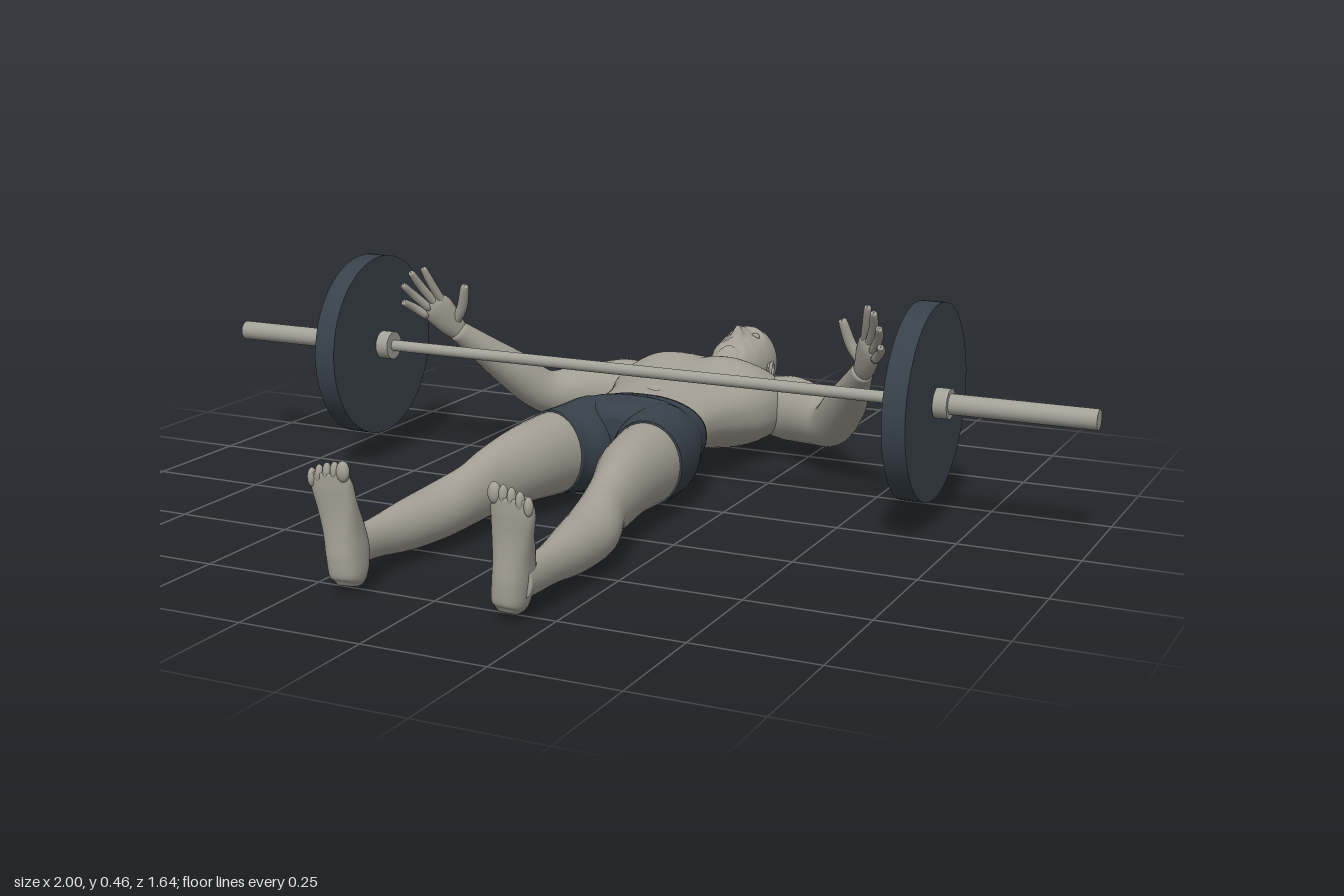
import * as THREE from 'three';

const mat = (name, color) => Object.assign(new THREE.MeshStandardMaterial({ color }), { name });
const skin = mat('skin grey', 0xa39f95);
const dark = mat('dark slate', 0x38414a);
const steel = mat('bar steel', 0xa2a198);
const Y = new THREE.Vector3(0, 1, 0);
const Z = new THREE.Vector3(0, 0, 1);

function add(parent, name, geo, material, x = 0, y = 0, z = 0) {
  const mesh = new THREE.Mesh(geo, material);
  mesh.name = name;
  mesh.position.set(x, y, z);
  parent.add(mesh);
  return mesh;
}

// Smooth capped skin over superelliptical rings; rows are [x, y, z, halfWidth, halfHeight]
function loft(rows, { up = Y, s = 1, rings = 32, around = 32, power = 2 } = {}) {
  const path = new THREE.CatmullRomCurve3(rows.map(r => new THREE.Vector3(r[0] * s, r[1], r[2])), false, 'catmullrom');
  const size = new THREE.CatmullRomCurve3(rows.map(r => new THREE.Vector3(r[3], r[4], 0)), false, 'catmullrom');
  const pos = [], idx = [];
  const pw = v => Math.sign(v) * Math.abs(v) ** (2 / power);
  for (let i = 0; i <= rings; i++) {
    const c = path.getPoint(i / rings), r = size.getPoint(i / rings), t = path.getTangent(i / rings);
    const side = new THREE.Vector3().crossVectors(up, t).normalize();
    const top = new THREE.Vector3().crossVectors(t, side);
    for (let j = 0; j < around; j++) {
      const a = j / around * Math.PI * 2;
      const p = c.clone().addScaledVector(side, r.x * pw(Math.cos(a))).addScaledVector(top, r.y * pw(Math.sin(a)));
      pos.push(p.x, p.y, p.z);
    }
  }
  for (let i = 0; i < rings; i++) for (let j = 0; j < around; j++) {
    const k = (j + 1) % around, a = i * around + j, b = i * around + k;
    idx.push(a, b, a + around, b, b + around, a + around);
  }
  const first = pos.length / 3, last = rings * around;
  pos.push(...path.getPoint(0).toArray(), ...path.getPoint(1).toArray());
  for (let j = 0; j < around; j++) {
    const k = (j + 1) % around;
    idx.push(first, k, j, first + 1, last + j, last + k);
  }
  const geo = new THREE.BufferGeometry();
  geo.setAttribute('position', new THREE.Float32BufferAttribute(pos, 3));
  geo.setIndex(idx);
  geo.computeVertexNormals();
  return geo;
}

// Raise or sink soft spots in y: [x, y, z, radiusX, radiusZ, amount], mirrored when x > 0
function sculpt(geo, spots) {
  const p = geo.attributes.position;
  const all = spots.flatMap(b => b[0] ? [b, [-b[0], ...b.slice(1)]] : [b]);
  for (let i = 0; i < p.count; i++) {
    const x = p.getX(i), y = p.getY(i), z = p.getZ(i);
    let dy = 0;
    for (const [bx, by, bz, rx, rz, h] of all)
      dy += h * Math.exp(-(((x - bx) / rx) ** 2) - (((y - by) / 0.05) ** 2) - (((z - bz) / rz) ** 2));
    p.setY(i, y + dy);
  }
  geo.computeVertexNormals();
  return geo;
}

// Rows for parts on the centre line: [z, halfWidth, bottom, top]
const centred = rows => rows.map(([z, w, lo, hi]) => [0, (lo + hi) / 2, z, w, (hi - lo) / 2]);

function ball(parent, name, x, y, z, rx, ry, rz) {
  const m = add(parent, name, new THREE.SphereGeometry(1, 20, 14), skin, x, y, z);
  m.scale.set(rx, ry, rz);
  return m;
}

function buildHead() {
  const head = new THREE.Group();
  head.name = 'head';
  const skull = loft(centred([
    [-0.815, 0.012, 0.14, 0.165], [-0.803, 0.038, 0.1, 0.195], [-0.775, 0.06, 0.073, 0.222],
    [-0.74, 0.07, 0.06, 0.237], [-0.7, 0.071, 0.063, 0.238], [-0.67, 0.067, 0.078, 0.236],
    [-0.64, 0.058, 0.1, 0.234], [-0.615, 0.042, 0.135, 0.228], [-0.603, 0.022, 0.17, 0.215],
  ]), { rings: 80, around: 96 });
  add(head, 'skull', sculpt(skull, [
    [0, 0.24, -0.668, 0.011, 0.011, 0.022], [0, 0.24, -0.692, 0.009, 0.02, 0.012],
    [0.01, 0.235, -0.664, 0.007, 0.006, 0.006], [0.028, 0.235, -0.712, 0.014, 0.01, -0.012],
    [0.026, 0.235, -0.731, 0.02, 0.008, 0.004], [0, 0.235, -0.649, 0.02, 0.004, 0.006],
    [0, 0.235, -0.638, 0.017, 0.004, 0.006], [0, 0.225, -0.614, 0.018, 0.009, 0.007],
    [0.04, 0.225, -0.675, 0.014, 0.02, -0.004],
  ]), skin);
  add(head, 'neck', loft(centred([
    [-0.69, 0.052, 0.085, 0.185], [-0.64, 0.055, 0.092, 0.192], [-0.6, 0.056, 0.095, 0.19],
    [-0.565, 0.068, 0.085, 0.185], [-0.52, 0.095, 0.06, 0.185],
  ])), skin);
  for (const s of [-1, 1]) {
    ball(head, 'eye', s * 0.028, 0.219, -0.712, 0.011, 0.01, 0.007);
    const ear = ball(head, 'ear', s * 0.073, 0.148, -0.692, 0.006, 0.016, 0.026);
    ear.rotation.y = s * 0.25;
    const rim = add(head, 'earRim', new THREE.TorusGeometry(0.015, 0.004, 8, 24), skin, s * 0.078, 0.148, -0.695);
    rim.rotation.y = Math.PI / 2 + s * 0.25;
    rim.scale.x = 1.5;
  }
  return head;
}

function buildArm(s) {
  const arm = new THREE.Group();
  arm.name = s > 0 ? 'leftArm' : 'rightArm';
  add(arm, 'armAndShoulder', loft([
    [0.12, 0.112, -0.49, 0.045, 0.06], [0.2, 0.112, -0.487, 0.062, 0.074], [0.25, 0.11, -0.468, 0.066, 0.07],
    [0.3, 0.112, -0.422, 0.06, 0.061], [0.355, 0.122, -0.357, 0.05, 0.05], [0.405, 0.18, -0.295, 0.047, 0.045],
    [0.45, 0.24, -0.23, 0.034, 0.033], [0.486, 0.29, -0.176, 0.022, 0.023],
  ], { s, rings: 48 }), skin);
  add(arm, 'palm', loft([
    [0.48, 0.28, -0.185, 0.02, 0.018], [0.495, 0.308, -0.162, 0.03, 0.018],
    [0.512, 0.345, -0.135, 0.035, 0.015], [0.521, 0.36, -0.124, 0.026, 0.009],
  ], { s, up: new THREE.Vector3(0.66 * s, 0.24, -0.74), rings: 16, around: 24 }), skin);
  // knuckle, middle joint and tip of each digit
  const digits = {
    indexFinger: [[0.498, 0.35, -0.145], [0.512, 0.4, -0.115], [0.52, 0.437, -0.095]],
    middleFinger: [[0.512, 0.352, -0.132], [0.532, 0.398, -0.1], [0.54, 0.43, -0.075]],
    ringFinger: [[0.524, 0.344, -0.123], [0.546, 0.378, -0.092], [0.555, 0.402, -0.066]],
    littleFinger: [[0.53, 0.328, -0.12], [0.55, 0.35, -0.095], [0.558, 0.364, -0.07]],
    thumb: [[0.488, 0.305, -0.168], [0.463, 0.345, -0.162], [0.449, 0.393, -0.15]],
  };
  for (const [name, [a, b, c]] of Object.entries(digits)) {
    const r = name === 'thumb' ? 0.012 : 0.0095;
    const tip = c.map((v, i) => v + (c[i] - b[i]) * 0.12);
    add(arm, name, loft([[...a, r, r], [...b, r, r], [...c, r * 0.8, r * 0.8], [...tip, r * 0.3, r * 0.3]],
      { s, up: Z, rings: 14, around: 12 }), skin);
  }
  return arm;
}

function buildLeg(s) {
  const leg = new THREE.Group();
  leg.name = s > 0 ? 'leftLeg' : 'rightLeg';
  add(leg, 'thighAndCalf', loft([
    [0.095, 0.105, 0, 0.08, 0.085], [0.107, 0.105, 0.08, 0.076, 0.088], [0.12, 0.105, 0.19, 0.066, 0.08],
    [0.138, 0.094, 0.29, 0.051, 0.07], [0.148, 0.082, 0.36, 0.047, 0.061], [0.167, 0.069, 0.45, 0.055, 0.055],
    [0.177, 0.066, 0.55, 0.046, 0.05], [0.185, 0.068, 0.65, 0.031, 0.039], [0.187, 0.069, 0.72, 0.027, 0.037],
    [0.184, 0.071, 0.775, 0.03, 0.038],
  ], { s, rings: 60 }), skin);
  add(leg, 'shortsLeg', loft([
    [0.068, 0.095, -0.135, 0.05, 0.06], [0.078, 0.1, -0.07, 0.085, 0.099], [0.09, 0.102, 0, 0.089, 0.098],
    [0.103, 0.105, 0.05, 0.082, 0.092], [0.108, 0.106, 0.082, 0.079, 0.091],
  ], { s }), dark);
  add(leg, 'foot', loft([
    [0.168, 0.012, 0.778, 0.018, 0.016], [0.169, 0.028, 0.773, 0.031, 0.035], [0.173, 0.07, 0.766, 0.035, 0.044],
    [0.177, 0.115, 0.77, 0.036, 0.038], [0.182, 0.165, 0.782, 0.04, 0.024], [0.187, 0.205, 0.79, 0.043, 0.018],
    [0.188, 0.232, 0.797, 0.038, 0.011],
  ], { s, up: Z, power: 2.4 }), skin);
  for (let i = 0; i < 5; i++)
    ball(leg, 'toe', s * (0.157 + i * 0.0165 - (i ? 0 : 0.001)), 0.236 - i * i * 0.0011, 0.8,
      i ? 0.0085 : 0.013, i ? 0.018 : 0.02, i ? 0.009 : 0.011);
  return leg;
}

function buildBarbell() {
  const bar = new THREE.Group();
  bar.name = 'barbell';
  bar.position.set(0, 0.26, -0.085);
  const rod = (name, r, x0, x1, m, sides = 32) =>
    add(bar, name, new THREE.CylinderGeometry(r, r, Math.abs(x1 - x0), sides).rotateZ(Math.PI / 2), m, (x0 + x1) / 2);
  rod('grip', 0.0125, -0.62, 0.62, steel);
  for (const s of [-1, 1]) {
    rod('sleeve', 0.021, s * 0.61, s, steel);
    rod('innerCollar', 0.031, s * 0.597, s * 0.628, steel);
    rod('outerCollar', 0.031, s * 0.672, s * 0.703, steel);
    rod('weightPlate', 0.202, s * 0.626, s * 0.674, dark, 72);
  }
  return bar;
}

export function createModel() {
  const model = new THREE.Group();
  model.name = 'lyingLifter';
  const torso = loft(centred([
    [-0.59, 0.055, 0.09, 0.18], [-0.57, 0.1, 0.065, 0.188], [-0.545, 0.165, 0.04, 0.197], [-0.5, 0.2, 0.02, 0.21],
    [-0.44, 0.203, 0.018, 0.219], [-0.38, 0.192, 0.024, 0.217], [-0.32, 0.171, 0.038, 0.207],
    [-0.25, 0.151, 0.055, 0.2], [-0.19, 0.141, 0.058, 0.197], [-0.13, 0.139, 0.045, 0.195],
  ]), { rings: 64, around: 64, power: 2.4 });
  // chest, ribs, belly and spine
  add(model, 'torso', sculpt(torso, [
    [0.09, 0.215, -0.435, 0.07, 0.05, 0.012], [0, 0.215, -0.43, 0.015, 0.08, -0.006],
    [0.045, 0.2, -0.27, 0.03, 0.08, 0.006], [0, 0.2, -0.2, 0.008, 0.008, -0.008],
    [0, 0.03, -0.36, 0.02, 0.15, 0.012], [0.1, 0.02, -0.46, 0.06, 0.06, -0.005],
  ]), skin);
  add(model, 'shorts', loft(centred([
    [-0.155, 0.144, 0.042, 0.2], [-0.11, 0.155, 0.018, 0.204], [-0.06, 0.164, 0.01, 0.21],
    [-0.015, 0.12, 0.03, 0.205], [0.012, 0.04, 0.06, 0.175],
  ]), { around: 48, power: 2.3 }), dark);
  model.add(buildHead(), buildBarbell());
  for (const s of [-1, 1]) model.add(buildArm(s), buildLeg(s));
  return model;
}
